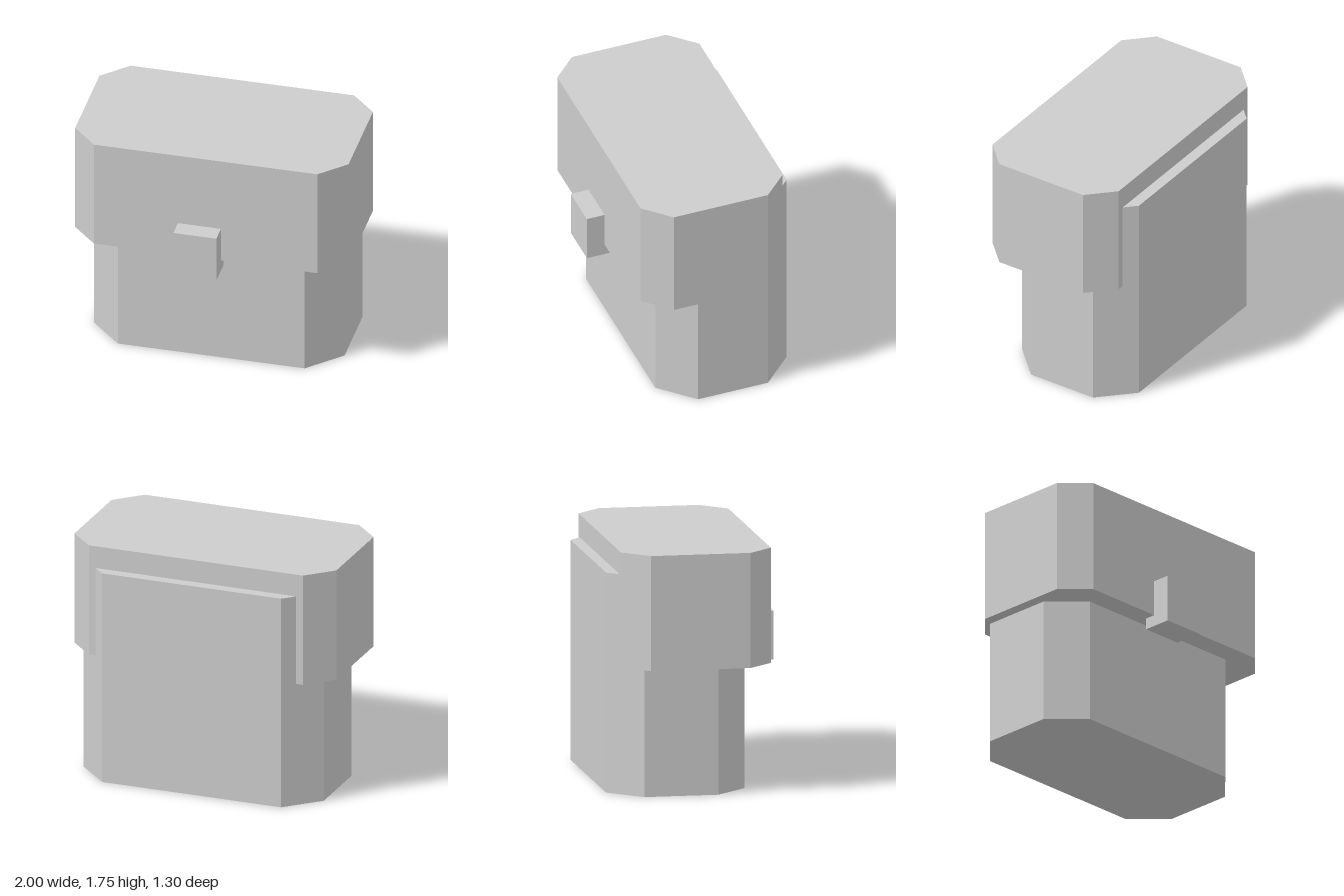
import * as THREE from 'three';

const grey = new THREE.MeshStandardMaterial({ color: 0xcccccc });
grey.name = 'plain grey';

// Upright block with four bevelled corners: half width, z range, y range, corner cut
function bevelledBlock(name, w, back, front, bottom, top, cut) {
  const shape = new THREE.Shape([
    [-w + cut, -front], [w - cut, -front], [w, -front + cut], [w, -back - cut],
    [w - cut, -back], [-w + cut, -back], [-w, -back - cut], [-w, -front + cut],
  ].map(([x, y]) => new THREE.Vector2(x, y)));
  const geometry = new THREE.ExtrudeGeometry(shape, { depth: top - bottom, bevelEnabled: false });
  geometry.rotateX(-Math.PI / 2).translate(0, bottom, 0);
  const mesh = new THREE.Mesh(geometry, grey);
  mesh.name = name;
  return mesh;
}

export function createModel() {
  const model = new THREE.Group();
  model.name = 'lidded case';

  // Lower case, rising behind the lid, and the wider lid over it
  model.add(bevelledBlock('caseBody', 0.917, -0.65, 0.35, 0, 1.585, 0.234));
  model.add(bevelledBlock('lid', 1, -0.567, 0.515, 0.92, 1.75, 0.183));

  // Clasp hanging over the lid's front edge, slightly off centre
  const clasp = new THREE.Mesh(new THREE.BoxGeometry(0.315, 0.35, 0.215), grey);
  clasp.name = 'clasp';
  clasp.position.set(-0.045, 1.01, 0.5425);
  model.add(clasp);

  return model;
}
